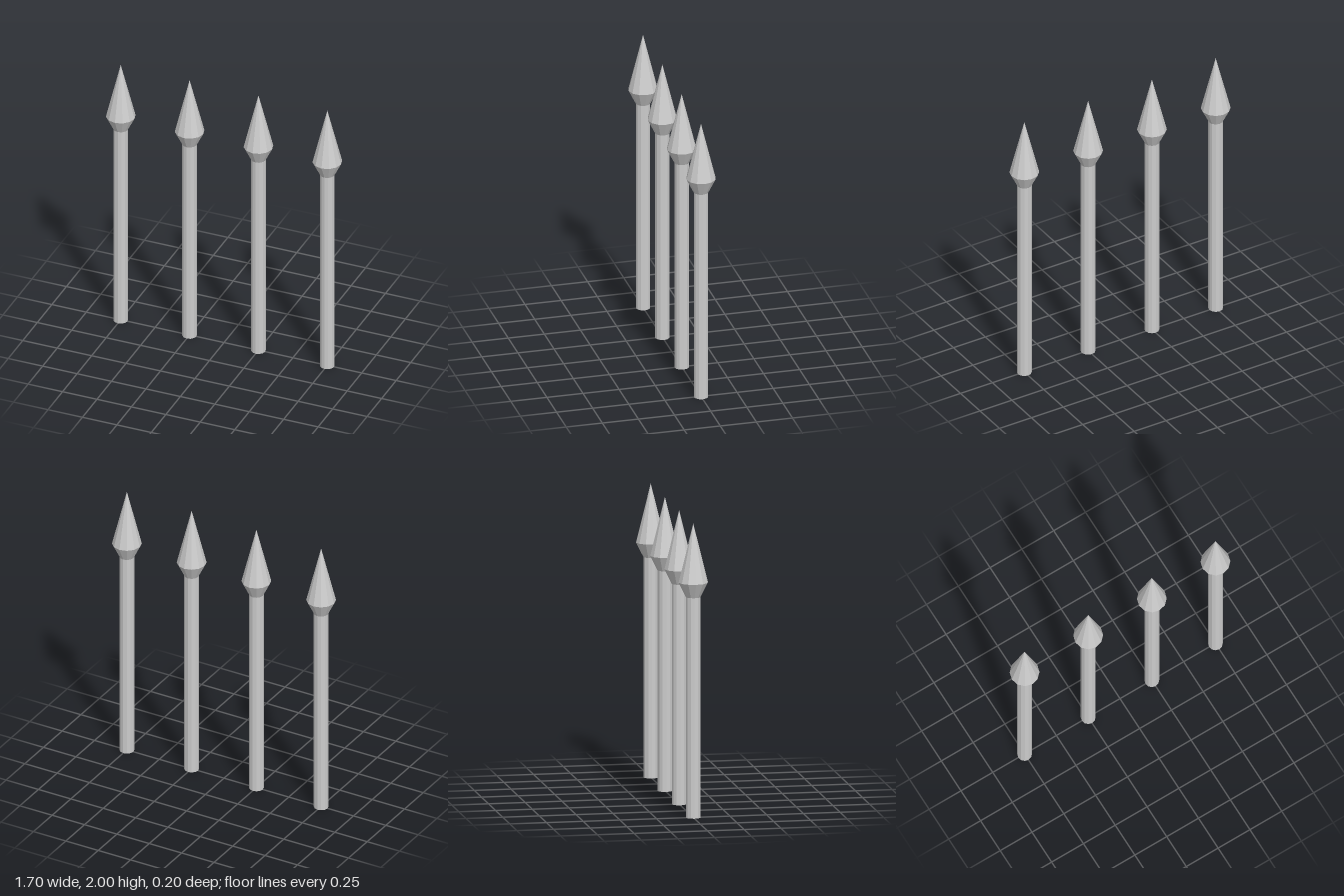
import * as THREE from 'three';

const SIDES = 12;
const SHAFT_RADIUS = 0.05, HEAD_RADIUS = 0.1;
const SHAFT_TOP = 1.5, HEAD_BASE = 1.6, TIP = 2;

export function createModel() {
  const model = new THREE.Group();
  model.name = 'spikeRow';
  const material = new THREE.MeshStandardMaterial({ color: 0xcccccc, flatShading: true });

  // Twelve-sided section between two heights, shared by all spikes
  const section = (topRadius, bottomRadius, y0, y1, open) =>
    new THREE.CylinderGeometry(topRadius, bottomRadius, y1 - y0, SIDES, 1, open)
      .translate(0, (y0 + y1) / 2, 0);

  const parts = {
    shaft: section(SHAFT_RADIUS, SHAFT_RADIUS, 0, SHAFT_TOP, false),
    collar: section(HEAD_RADIUS, SHAFT_RADIUS, SHAFT_TOP, HEAD_BASE, true),
    point: new THREE.ConeGeometry(HEAD_RADIUS, TIP - HEAD_BASE, SIDES, 1, true)
      .translate(0, (HEAD_BASE + TIP) / 2, 0),
  };

  // Four evenly spaced spikes
  for (let i = 0; i < 4; i++) {
    const spike = new THREE.Group();
    spike.name = `spike${i + 1}`;
    spike.position.x = -0.75 + i * 0.5;
    for (const [name, geometry] of Object.entries(parts)) {
      const mesh = new THREE.Mesh(geometry, material);
      mesh.name = name;
      spike.add(mesh);
    }
    model.add(spike);
  }
  return model;
}
